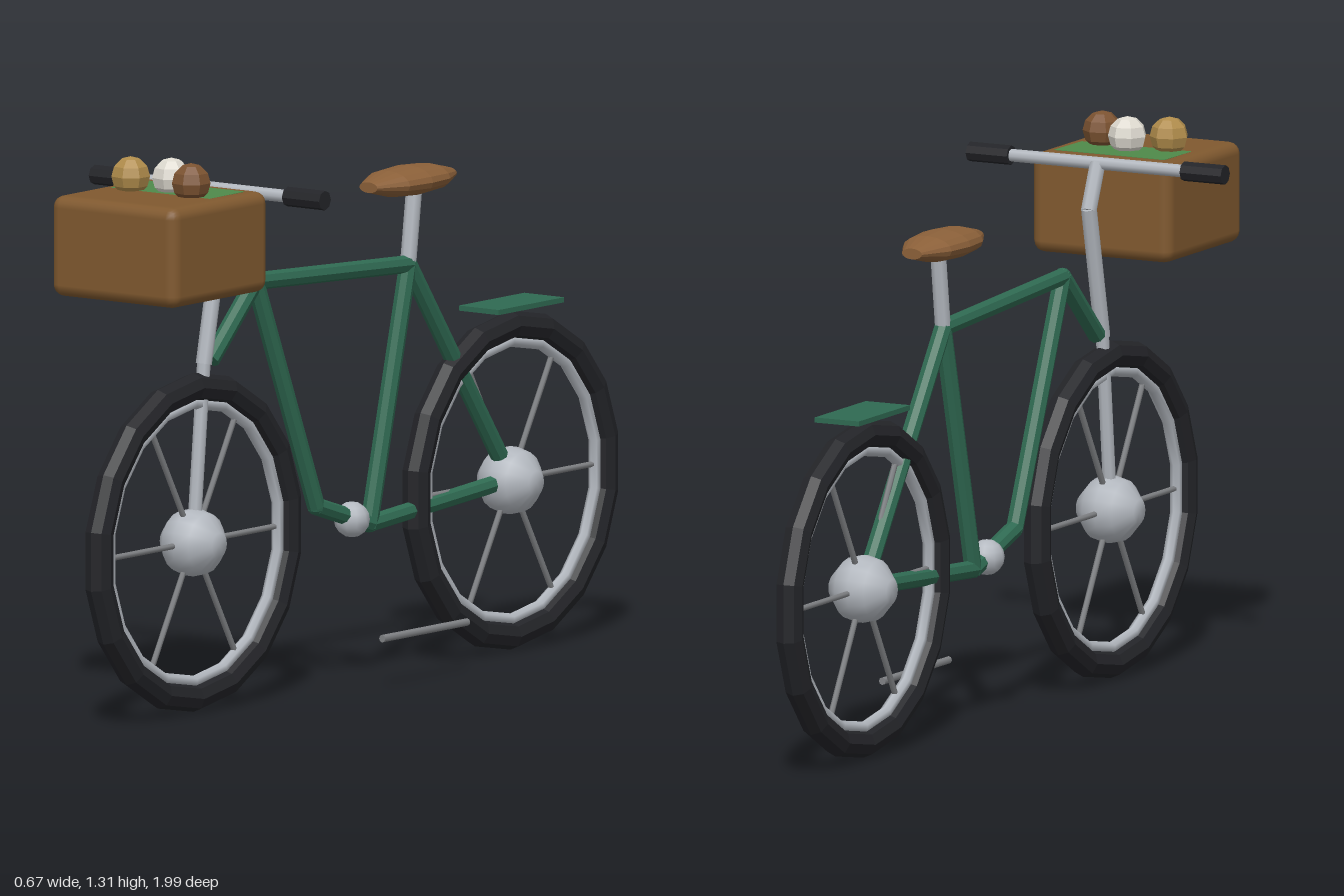
import * as THREE from 'three';
import { RoundedBoxGeometry } from 'three/addons/geometries/RoundedBoxGeometry.js';

const paint = (color, flatShading = false) => {
  const m = new THREE.MeshStandardMaterial({ color });
  m.flatShading = flatShading;
  return m;
};

export function createModel() {
  const bike = new THREE.Group();
  const green = paint(0x2f6a52, true);
  const metal = paint(0xb4b9c0);
  const dark = paint(0x232428, true);
  const wire = paint(0x808285);
  const leather = paint(0x8b6039, true);
  const wicker = paint(0x80592f);

  const add = (name, geometry, material, x = 0, y = 0, z = 0, parent = bike) => {
    const mesh = new THREE.Mesh(geometry, material);
    mesh.name = name;
    mesh.position.set(x, y, z);
    parent.add(mesh);
    return mesh;
  };

  // Straight rod between two points [x, y, z]
  const up = new THREE.Vector3(0, 1, 0);
  const rod = (name, from, to, radius, material, sides = 8, parent = bike) => {
    const a = new THREE.Vector3(...from), b = new THREE.Vector3(...to);
    const dir = b.clone().sub(a);
    const mesh = add(name, new THREE.CylinderGeometry(radius, radius, dir.length(), sides), material, 0, 0, 0, parent);
    mesh.position.copy(a).add(b).multiplyScalar(0.5);
    mesh.quaternion.setFromUnitVectors(up, dir.normalize());
    return mesh;
  };

  // Blunt-ended ball turned around y, of unit radius
  const bluntBall = () => new THREE.LatheGeometry(
    [[0, -0.95], [0.36, -0.95], [0.88, -0.48], [1, 0], [0.88, 0.48], [0.36, 0.95], [0, 0.95]]
      .map(([r, h]) => new THREE.Vector2(r, h)), 16);

  // Wheels: tyre, rim, spokes and hub
  const ring = (R, tube, sides) => new THREE.TorusGeometry(R, tube, sides, 18).rotateZ(Math.PI / 2).rotateY(Math.PI / 2);
  for (const [name, z] of [['frontWheel', 0.606], ['rearWheel', -0.606]]) {
    const wheel = new THREE.Group();
    wheel.name = name;
    wheel.position.set(0, 0.397, z);
    bike.add(wheel);
    add('tyre', ring(0.364, 0.033, 8), dark, 0, 0, 0, wheel);
    add('rim', ring(0.326, 0.014, 6), metal, 0, 0, 0, wheel);
    for (let i = 0; i < 6; i++) {
      const a = i * Math.PI / 3;
      rod('spoke', [0, 0, 0], [0, 0.322 * Math.sin(a), 0.322 * Math.cos(a)], 0.007, wire, 6, wheel);
    }
    add('hub', bluntBall().scale(0.08, 0.08, 0.08).rotateZ(Math.PI / 2), metal, 0, 0, 0, wheel);
  }

  // Frame tubes
  const headLow = [0, 0.815, 0.54], headTop = [0, 0.98, 0.37], seatTop = [0, 0.95, -0.215];
  const bend = [0, 0.425, 0.137], crank = [0, 0.36, -0.067], axle = [0, 0.4, -0.606];
  const tubes = [
    ['headTube', headLow, headTop], ['topTube', headTop, seatTop], ['downTube', headTop, bend],
    ['lowerTube', bend, crank], ['seatTube', seatTop, crank],
    ['seatStay', seatTop, axle], ['chainStay', crank, axle],
  ];
  for (const [name, a, b] of tubes) rod(name, a, b, 0.021, green);
  for (const p of [headTop, seatTop, bend, crank]) add('tubeJoint', new THREE.SphereGeometry(0.021, 8, 6), green, ...p);

  // Crank ball and loose pedal bar
  add('crankHub', new THREE.SphereGeometry(0.042, 10, 8), metal, 0, 0.378, 0);
  rod('pedalBar', [0.13, 0.117, 0.055], [0.13, 0.117, -0.27], 0.009, wire);

  // Fork, stem, handlebar and grips
  rod('fork', [0, 0.4, 0.606], [0, 0.82, 0.565], 0.016, metal);
  rod('steerer', [0, 0.81, 0.566], [0, 1.12, 0.5], 0.019, metal);
  rod('stem', [0, 1.115, 0.499], [0, 1.22, 0.543], 0.019, metal);
  rod('handlebar', [-0.3, 1.22, 0.543], [0.3, 1.22, 0.543], 0.015, metal);
  for (const s of [-1, 1]) rod('grip', [s * 0.227, 1.22, 0.543], [s * 0.335, 1.22, 0.543], 0.023, dark);

  // Seat post and saddle
  rod('seatPost', seatTop, [0, 1.14, -0.24], 0.019, metal);
  add('saddle', bluntBall().rotateX(Math.PI / 2).scale(0.073, 0.035, 0.16), leather, 0, 1.147, -0.215);

  // Rear rack
  add('rearRack', new THREE.BoxGeometry(0.116, 0.012, 0.25), green, 0, 0.809, -0.61);

  // Basket with a cloth and three buns
  add('basket', new RoundedBoxGeometry(0.366, 0.236, 0.366, 2, 0.028), wicker, 0, 1.112, 0.735);
  const cloth = add('cloth', new THREE.BoxGeometry(0.29, 0.01, 0.27), paint(0x4f8a4a), 0, 1.225, 0.735);
  cloth.rotation.x = 0.008;
  const buns = [[-0.088, 0.73, 0xb08c4b], [0, 0.69, 0xdedad0], [0.088, 0.73, 0x7c5331]];
  for (const [x, z, color] of buns) {
    add('bun', new THREE.SphereGeometry(0.046, 7, 6), paint(color, true), x, 1.262, z);
  }
  return bike;
}
